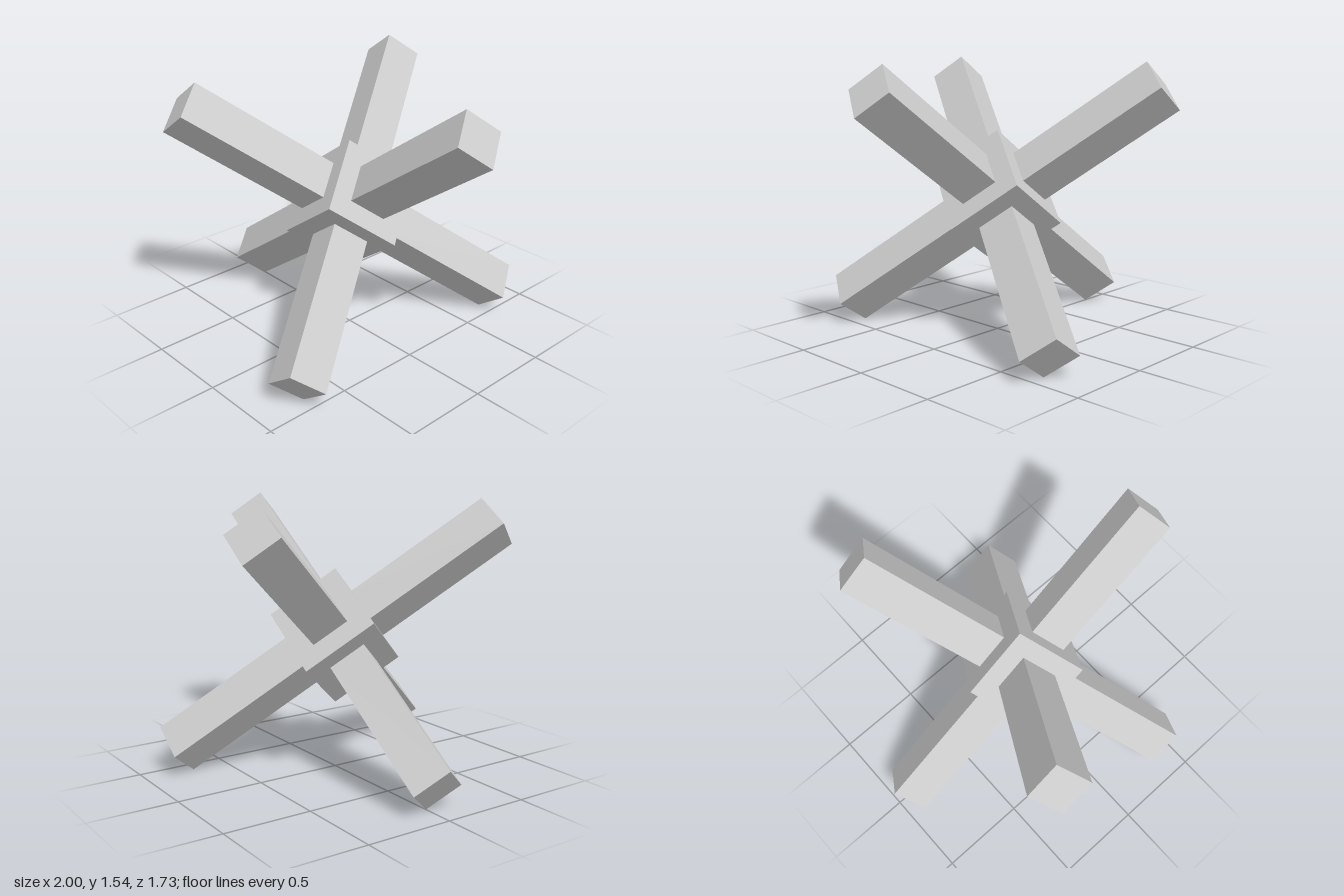
import * as THREE from 'three';

export function createModel() {
  const model = new THREE.Group();
  model.name = 'sixArmedCross';
  const material = new THREE.MeshStandardMaterial({ color: 0xcccccc, flatShading: true });

  const unit = 0.2227;      // arm thickness
  const hub = unit * 2;     // core cube edge
  const reach = unit * 5;   // centre to arm tip

  // Cross balanced on a corner: the three axes lean equally around the vertical
  const axes = [0, -120, 120].map((deg) => {
    const t = THREE.MathUtils.degToRad(deg);
    const r = Math.sqrt(2 / 3);
    return new THREE.Vector3(r * Math.cos(t), 1 / Math.sqrt(3), r * Math.sin(t));
  });
  const cross = new THREE.Group();
  cross.name = 'cross';
  cross.quaternion.setFromRotationMatrix(new THREE.Matrix4().makeBasis(...axes));
  cross.position.y = (reach + unit) / Math.sqrt(3);
  model.add(cross);

  // Central cube
  const core = new THREE.Mesh(new THREE.BoxGeometry(hub, hub, hub), material);
  core.name = 'coreCube';
  cross.add(core);

  // One square arm out of each face of the cube
  const length = reach - hub / 2;
  for (const axis of ['x', 'y', 'z']) {
    for (const side of [1, -1]) {
      const size = new THREE.Vector3(unit, unit, unit);
      size[axis] = length;
      const arm = new THREE.Mesh(new THREE.BoxGeometry(size.x, size.y, size.z), material);
      arm.name = side > 0 ? 'upperArm' : 'lowerArm';
      arm.position[axis] = side * (hub / 2 + length / 2);
      cross.add(arm);
    }
  }

  return model;
}
